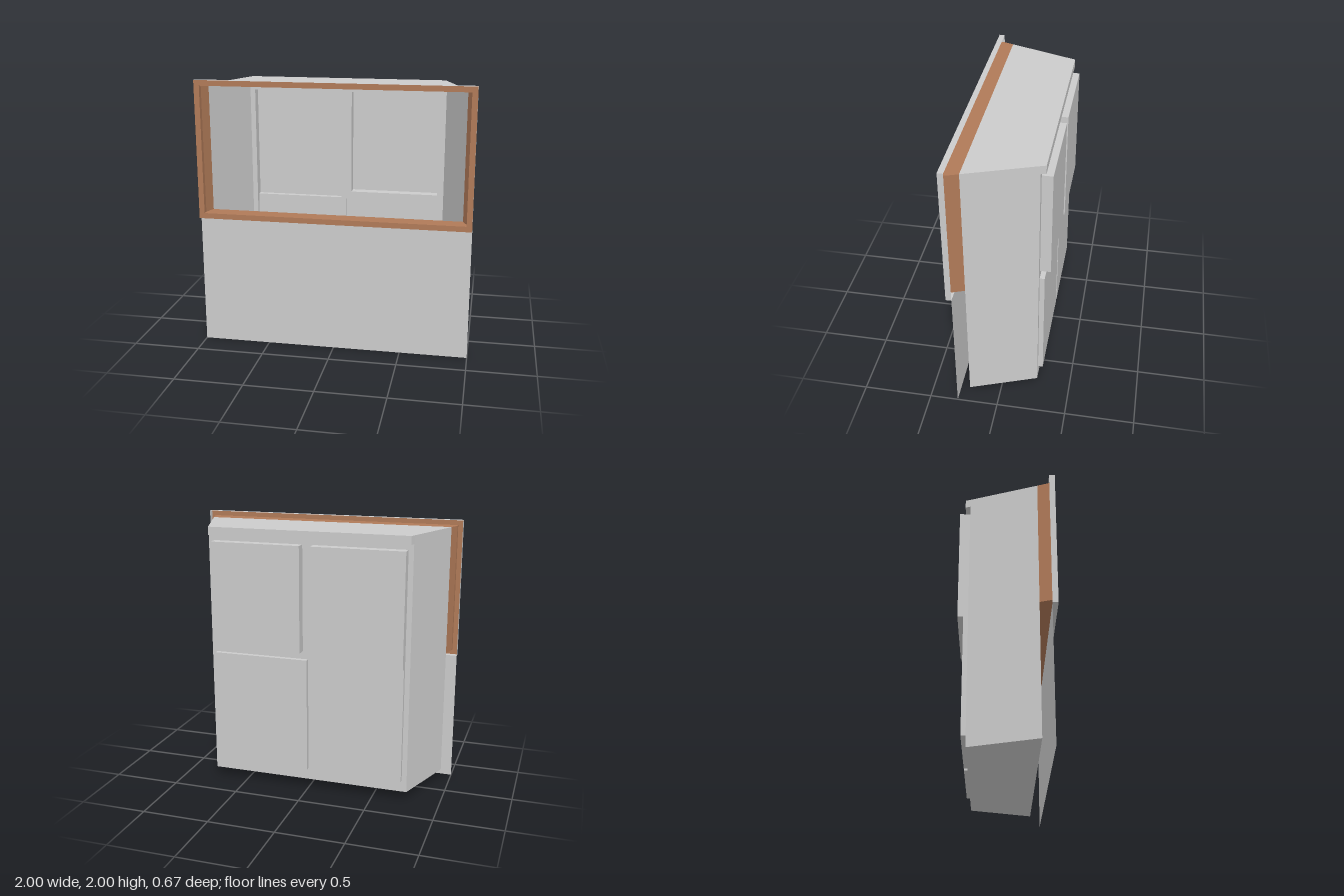
import * as THREE from 'three';

const material = (color) => new THREE.MeshStandardMaterial({ color, side: THREE.DoubleSide, flatShading: true });

export function createModel() {
  const model = new THREE.Group();
  const grey = material(0xcccccc);
  const brown = material(0xb07a58);

  const add = (parent, name, geometry, mat) => {
    const mesh = new THREE.Mesh(geometry, mat);
    mesh.name = name;
    parent.add(mesh);
    return mesh;
  };

  // A rectangle section [x0, x1, y0, y1, z] as four corners, counterclockwise from the front
  const corners = ([x0, x1, y0, y1, z]) => [[x0, y0, z], [x1, y0, z], [x1, y1, z], [x0, y1, z]];

  // Four thin walls joining each rectangle section to the next one behind it
  const walls = (parent, name, sections, mat) => {
    const pos = [];
    for (let s = 0; s < sections.length - 1; s++) {
      const a = corners(sections[s]), b = corners(sections[s + 1]);
      for (let i = 0; i < 4; i++) {
        const j = (i + 1) % 4;
        for (const p of [a[i], b[i], b[j], a[i], b[j], a[j]]) pos.push(...p);
      }
    }
    const g = new THREE.BufferGeometry();
    g.setAttribute('position', new THREE.Float32BufferAttribute(pos, 3));
    g.computeVertexNormals();
    return add(parent, name, g, mat);
  };

  // Flat upright sheet with rectangular openings
  const sheet = (parent, name, [x0, x1, y0, y1, z], mat, holes = []) => {
    const outline = (path, l, r, b, t) => path.moveTo(l, b).lineTo(r, b).lineTo(r, t).lineTo(l, t).closePath();
    const shape = outline(new THREE.Shape(), x0, x1, y0, y1);
    for (const h of holes) shape.holes.push(outline(new THREE.Path(), h[0], h[1], h[2], h[3]));
    const g = new THREE.ShapeGeometry(shape);
    g.translate(0, 0, z);
    return add(parent, name, g, mat);
  };

  const at = (rect, z) => [...rect, z];
  const FRONT = 0.335, FRAME_BACK = 0.295, BODY_FRONT = 0.215;
  const WALL = -0.26, SHALLOW = -0.295, DEEP = -0.335;

  // Front panel below the window
  sheet(model, 'frontPanel', [-1, 1, 0, 0.98, FRAME_BACK], grey);

  // Window frame: brown face, grey outer lip, brown lining narrowing inwards
  const frame = new THREE.Group();
  frame.name = 'windowFrame';
  model.add(frame);
  const outer = [-1, 1, 0.98, 2], opening = [-0.96, 0.96, 1.02, 1.96];
  sheet(frame, 'frameFace', at(outer, FRONT), brown, [opening]);
  walls(frame, 'frameLip', [at(outer, FRONT), at(outer, FRAME_BACK)], grey);
  walls(frame, 'windowLining', [
    at(opening, FRONT), at(opening, FRAME_BACK), [-0.93, 0.93, 1.02, 1.96, BODY_FRONT],
  ], brown);

  // Hollow tapering body, with a ledge along the top of the back
  walls(model, 'cabinetShell', [
    [-0.93, 0.93, 0.07, 1.96, BODY_FRONT], [-0.757, 0.757, 0.07, 1.96, WALL],
  ], grey);
  walls(model, 'topLedge', [
    [-0.757, 0.757, 1.9, 1.96, WALL], [-0.745, 0.745, 1.9, 1.96, SHALLOW],
  ], grey);
  sheet(model, 'topLedgeBack', [-0.745, 0.745, 1.9, 1.96, SHALLOW], grey);

  // Recesses pressed out through the back wall
  const rightBay = [-0.72, -0.04, 0.16, 1.86];
  const rightUpper = [-0.72, -0.04, 1.02, 1.86];
  const leftUpper = [0.04, 0.71, 1.08, 1.86];
  const leftLower = [0, 0.72, 0.16, 1.02];
  sheet(model, 'backWall', [-0.757, 0.757, 0.07, 1.9, WALL], grey, [rightBay, leftUpper, leftLower]);

  const recess = (name, rect, from, to) => {
    walls(model, name + 'Sides', [at(rect, from), at(rect, to)], grey);
    sheet(model, name + 'Back', at(rect, to), grey);
  };
  recess('leftUpperRecess', leftUpper, WALL, DEEP);
  recess('leftLowerRecess', leftLower, WALL, SHALLOW);

  // The right bay is one opening that steps deeper in its upper half
  walls(model, 'rightBaySides', [at(rightBay, WALL), at(rightBay, SHALLOW)], grey);
  sheet(model, 'rightLowerRecessBack', [-0.72, -0.04, 0.16, 1.02, SHALLOW], grey);
  recess('rightUpperRecess', rightUpper, SHALLOW, DEEP);

  return model;
}
